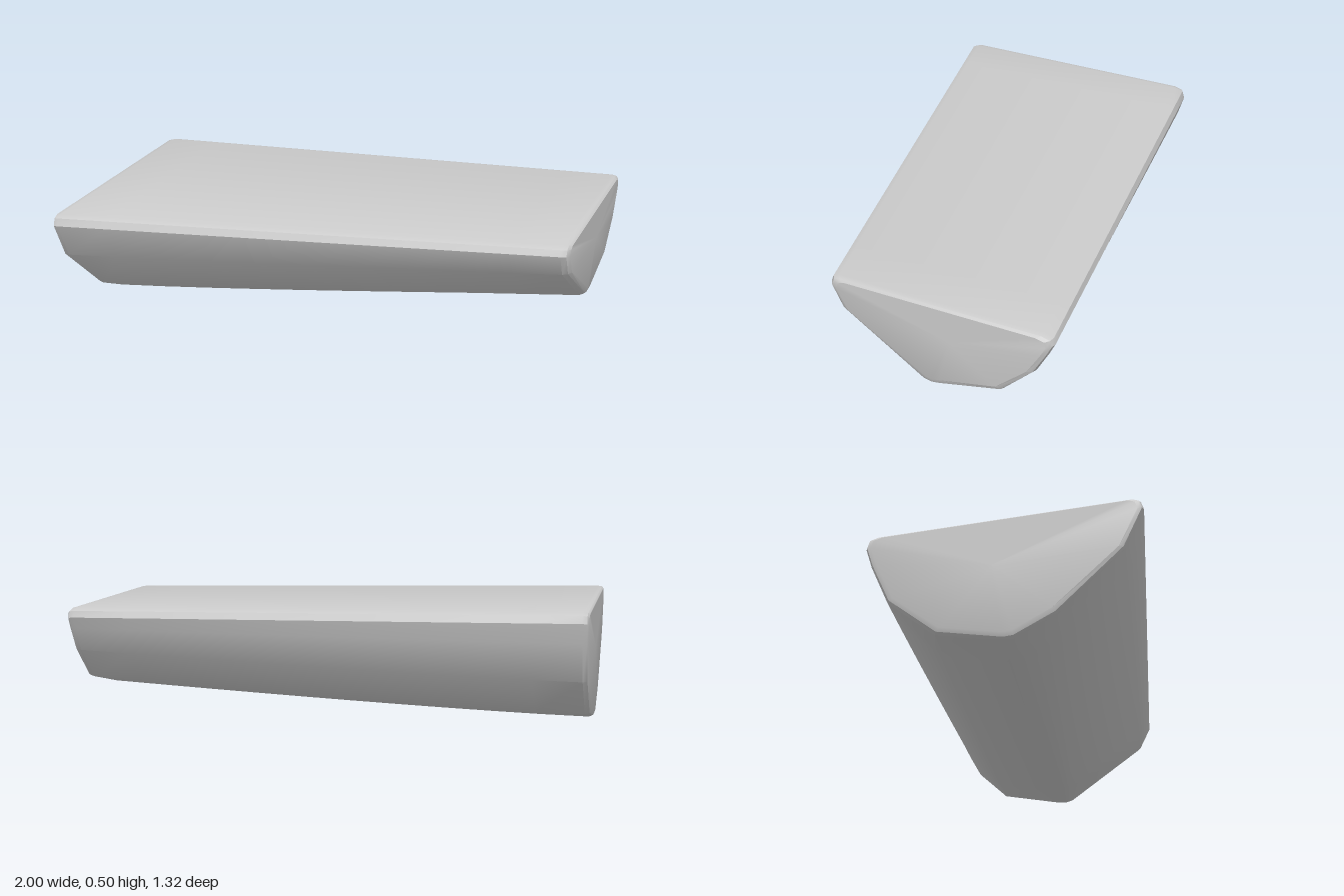
import * as THREE from 'three';
import { toCreasedNormals } from 'three/addons/utils/BufferGeometryUtils.js';

// Matching end outlines as [z, y]: down the front, under the keel, up the back, over the top
const RIGHT_END = [
  [0.63, 0.5], [0.655, 0.49], [0.665, 0.46], [0.595, 0.31], [0.34, 0.08], [0.18, 0.004], [0.14, 0.002],
  [-0.12, 0.06], [-0.31, 0.22], [-0.38, 0.38], [-0.405, 0.46], [-0.395, 0.49], [-0.36, 0.5],
];
const LEFT_END = [
  [0.21, 0.5], [0.235, 0.49], [0.245, 0.465], [0.2, 0.375], [-0.135, 0.148], [-0.165, 0.141], [-0.2, 0.145],
  [-0.46, 0.205], [-0.59, 0.33], [-0.64, 0.42], [-0.662, 0.465], [-0.655, 0.49], [-0.62, 0.5],
];

// Stations along the body: [x, inset]; the inset rounds off both ends
const STATIONS = [[-1, 0.025], [-0.993, 0.008], [-0.975, 0]];
for (let i = 1; i < 10; i++) STATIONS.push([-0.975 + i * 0.1945, 0]);
STATIONS.push([0.97, 0], [0.99, 0.009], [1, 0.03]);

function section(x, inset) {
  const u = (x + 1) / 2;
  const rise = Math.pow(u, 1.2); // the underside lifts slightly faster towards the left
  const points = RIGHT_END.map(([z, y], j) => new THREE.Vector3(
    x,
    THREE.MathUtils.lerp(y, LEFT_END[j][1], rise),
    THREE.MathUtils.lerp(z, LEFT_END[j][0], u),
  ));
  const center = new THREE.Vector3();
  points.forEach((p) => center.addScaledVector(p, 1 / points.length));
  points.forEach((p) => {
    const toCenter = center.clone().sub(p).normalize();
    p.addScaledVector(toCenter, inset);
  });
  return { points, center };
}

function loftGeometry() {
  const sections = STATIONS.map(([x, inset]) => section(x, inset));
  const n = RIGHT_END.length;
  const positions = [];
  const tri = (...corners) => corners.forEach((p) => positions.push(p.x, p.y, p.z));

  // Skin between neighbouring stations
  for (let i = 0; i < sections.length - 1; i++) {
    const s = sections[i].points;
    const t = sections[i + 1].points;
    for (let j = 0; j < n; j++) {
      const k = (j + 1) % n;
      tri(s[j], s[k], t[j]);
      tri(s[k], t[k], t[j]);
    }
  }

  // Flat end faces
  const first = sections[0];
  const last = sections[sections.length - 1];
  for (let j = 0; j < n; j++) {
    const k = (j + 1) % n;
    tri(first.center, first.points[k], first.points[j]);
    tri(last.center, last.points[j], last.points[k]);
  }

  const geometry = new THREE.BufferGeometry();
  geometry.setAttribute('position', new THREE.Float32BufferAttribute(positions, 3));
  return toCreasedNormals(geometry, 0.55);
}

export function createModel() {
  const group = new THREE.Group();
  group.name = 'taperedBlock';
  const body = new THREE.Mesh(loftGeometry(), new THREE.MeshStandardMaterial({ color: 0xcccccc }));
  body.name = 'body';
  group.add(body);
  return group;
}
